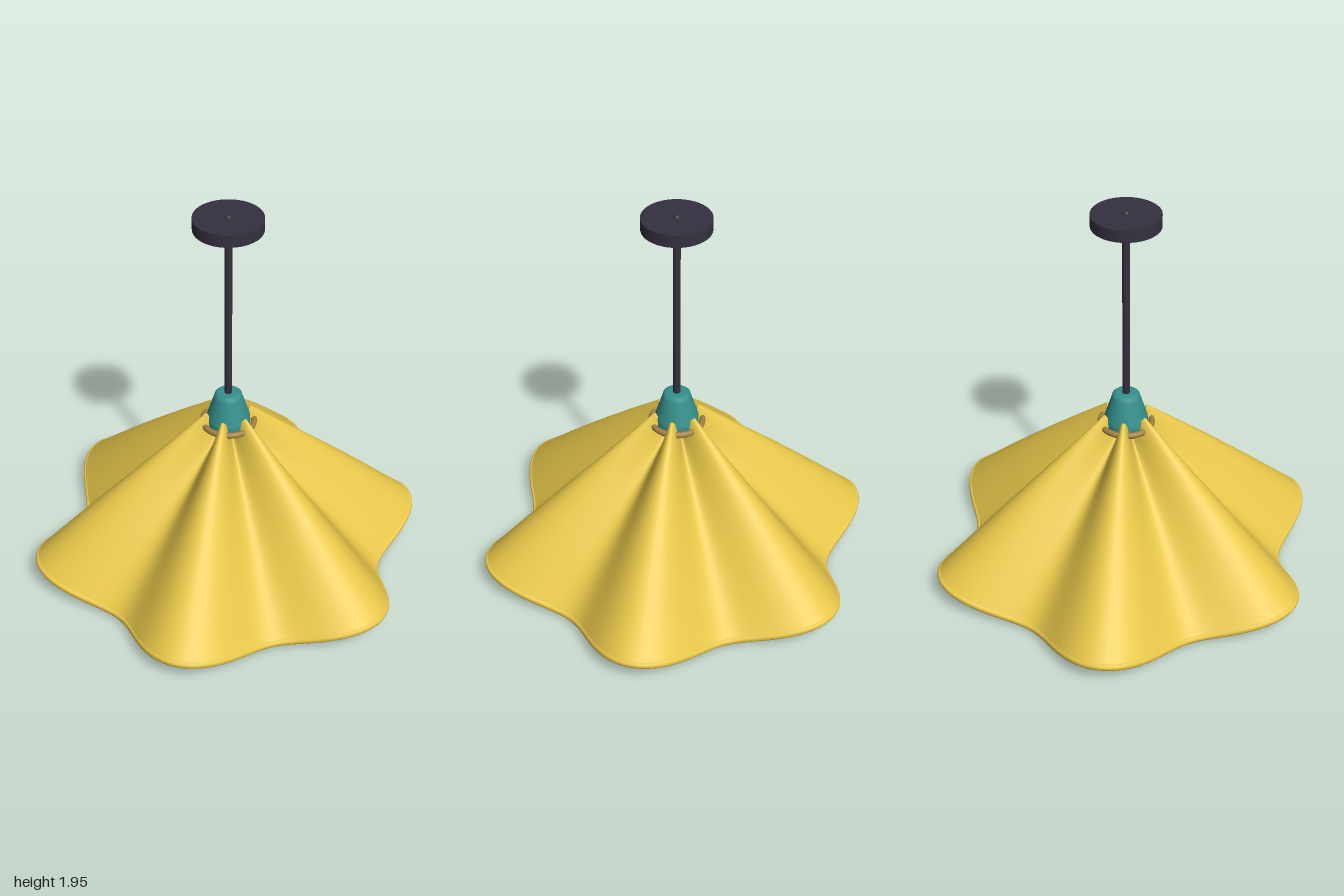
import * as THREE from 'three';
import { ParametricGeometry } from 'three/addons/geometries/ParametricGeometry.js';

const mat = (color, side = THREE.FrontSide) => new THREE.MeshStandardMaterial({ color, side });
const yellow = mat(0xe8c74a, THREE.DoubleSide);
const lining = mat(0xd6d2c6, THREE.DoubleSide);
const dark = mat(0x35303f);
const teal = mat(0x35908c);
const brass = mat(0xa08040);

const LOBES = 6;
const WALL = { r: -0.008, y: -0.04 }; // offset from the outer face to the lining

// Fluted cone: t runs from the scalloped top (0) to the rim (1)
function outer(angle, t) {
  const c = Math.cos(LOBES * angle);
  const lerp = THREE.MathUtils.lerp;
  return {
    r: lerp(0.085 + 0.03 * c, 0.878 + 0.107 * c, t),
    y: lerp(0.82 + 0.05 * c, 0.085 + 0.045 * c, t) + 0.012 * Math.sin(Math.PI * t),
  };
}

// Sweeps a (angle, v) -> {r, y} rule around the vertical axis
function swept(rule, stacks) {
  return new ParametricGeometry((u, v, target) => {
    const a = u * Math.PI * 2;
    const { r, y } = rule(a, v);
    target.set(r * Math.cos(a), y, r * Math.sin(a));
  }, 180, stacks);
}

// Rounded edge joining the outer face and the lining at t
function hem(t, bulge) {
  return (a, v) => {
    const p = outer(a, t);
    const k = (1 - Math.cos(v * Math.PI)) / 2;
    const b = bulge * Math.sin(v * Math.PI);
    const s = t === 1 ? k : 1 - k;
    return { r: p.r + WALL.r * s + b, y: p.y + WALL.y * s };
  };
}

function lathe(points, segments = 48) {
  return new THREE.LatheGeometry(points.map(([x, y]) => new THREE.Vector2(x, y)), segments);
}

export function createModel() {
  const model = new THREE.Group();
  const add = (name, geometry, material, y = 0, parent = model) => {
    const mesh = new THREE.Mesh(geometry, material);
    mesh.name = name;
    mesh.position.y = y;
    parent.add(mesh);
    return mesh;
  };

  // Ceiling plate, finial and rod
  add('ceilingPlate', new THREE.CylinderGeometry(0.163, 0.163, 0.06, 64), dark, 1.905);
  add('finial', new THREE.SphereGeometry(0.018, 20, 12), dark, 1.932);
  add('rod', new THREE.CylinderGeometry(0.018, 0.018, 0.94, 24), dark, 1.42);

  // Holder cap where the shade gathers
  add('holder', lathe([
    [0, 0.755], [0.075, 0.755], [0.092, 0.76], [0.102, 0.775], [0.107, 0.81], [0.105, 0.84],
    [0.07, 0.95], [0.066, 0.965], [0.056, 0.974], [0.045, 0.975], [0, 0.975],
  ]), teal);
  const ring = add('gatherRing', new THREE.TorusGeometry(0.125, 0.015, 14, 72), brass, 0.805);
  ring.rotation.x = Math.PI / 2;

  // Fluted shade with lining and rounded edges
  const shade = new THREE.Group();
  shade.name = 'shade';
  model.add(shade);
  add('shadeOuter', swept(outer, 32), yellow, 0, shade);
  add('shadeLining', swept((a, v) => {
    const p = outer(a, 1 - v);
    return { r: p.r + WALL.r, y: p.y + WALL.y };
  }, 32), lining, 0, shade);
  add('rimHem', swept(hem(1, 0.018), 8), yellow, 0, shade);
  add('topHem', swept(hem(0, -0.012), 6), yellow, 0, shade);

  // Thin ribs under each lobe
  for (let i = 0; i < LOBES; i++) {
    const a = (i / LOBES) * Math.PI * 2;
    const at = (r, y) => new THREE.Vector3(r * Math.cos(a), y, r * Math.sin(a));
    const path = new THREE.LineCurve3(at(0.09, 0.765), at(0.785, 0.045));
    add('rib', new THREE.TubeGeometry(path, 1, 0.005, 8), brass);
  }

  // Bulb
  add('bulb', lathe([
    [0, 0.38], [0.035, 0.386], [0.07, 0.407], [0.1, 0.445], [0.116, 0.49], [0.118, 0.53],
    [0.108, 0.58], [0.085, 0.64], [0.062, 0.69], [0.052, 0.73], [0.05, 0.765],
  ]), yellow);

  return model;
}
